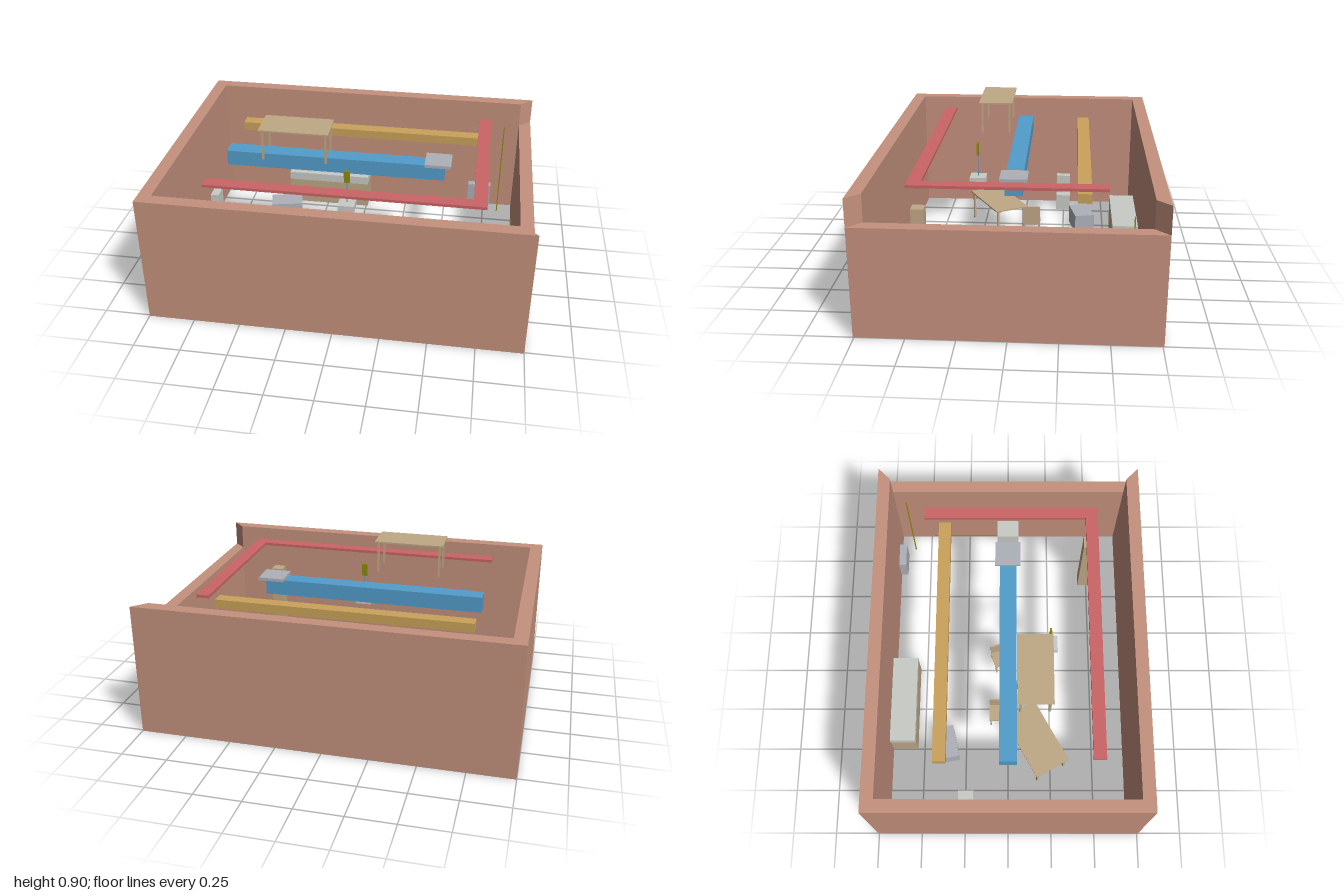
import * as THREE from 'three';

const mat = (name, color) => {
  const m = new THREE.MeshStandardMaterial({ color });
  m.name = name;
  return m;
};

export function createModel() {
  const model = new THREE.Group();
  model.name = 'room';
  const brick = mat('brick', 0xc4917d);
  const wood = mat('wood', 0xbfa886);
  const white = mat('lightGrey', 0xc9cbc6);
  const steel = mat('blueGrey', 0xaeb1b9);
  const red = mat('red', 0xcb6466);
  const ochre = mat('ochre', 0xcaa25a);
  const blue = mat('blue', 0x539dcb);
  const olive = mat('olive', 0x8f8a08);

  // Box given by its lower and upper limits on each axis
  const box = (name, m, x0, x1, y0, y1, z0, z1, parent = model) => {
    const mesh = new THREE.Mesh(new THREE.BoxGeometry(x1 - x0, y1 - y0, z1 - z0), m);
    mesh.position.set((x0 + x1) / 2, (y0 + y1) / 2, (z0 + z1) / 2);
    mesh.name = name;
    parent.add(mesh);
    return mesh;
  };

  // Prism raised from a floor outline of [x, z] points
  const prism = (name, m, points, y0, y1) => {
    const shape = new THREE.Shape(points.map(([x, z]) => new THREE.Vector2(x, -z)));
    const geo = new THREE.ExtrudeGeometry(shape, { depth: y1 - y0, bevelEnabled: false });
    geo.rotateX(-Math.PI / 2);
    const mesh = new THREE.Mesh(geo, m);
    mesh.position.y = y0;
    mesh.name = name;
    model.add(mesh);
  };

  // Mitred walls, the one on the +x side lower
  const X = 1, Z = 0.757, x = 0.93, z = 0.687;
  prism('frontWall', brick, [[-X, Z], [X, Z], [x, z], [-x, z]], 0, 0.725);
  prism('backWall', brick, [[X, -Z], [-X, -Z], [-x, -z], [x, -z]], 0, 0.725);
  prism('rightWall', brick, [[-X, -Z], [-X, Z], [-x, z], [-x, -z]], 0, 0.725);
  prism('leftWall', brick, [[X, Z], [X, -Z], [x, -z], [x, z]], 0, 0.58);

  // Overhead runs
  prism('redTray', red, [[-0.72, 0.515], [0.755, 0.515], [0.755, -0.48], [0.685, -0.48],
    [0.685, 0.445], [-0.72, 0.445]], 0.693, 0.708);
  box('ochreDuct', ochre, -0.72, 0.685, 0.605, 0.655, -0.4, -0.33);
  box('blueDuct', blue, -0.72, 0.515, 0.572, 0.66, -0.047, 0.047);
  box('ductVent', steel, 0.405, 0.55, 0.659, 0.676, -0.073, 0.071);

  // Table with four legs, origin at the foot of its centre
  const table = (name, cx, cy, cz, w, d, h, turn) => {
    const g = new THREE.Group();
    g.name = name;
    g.position.set(cx, cy, cz);
    g.rotation.y = turn;
    box('tableTop', wood, -w / 2, w / 2, h - 0.008, h, -d / 2, d / 2, g);
    for (const sx of [-1, 1]) for (const sz of [-1, 1]) {
      const lx = sx * (w / 2 - 0.018), lz = sz * (d / 2 - 0.018);
      box('tableLeg', wood, lx - 0.006, lx + 0.006, 0, h - 0.008, lz - 0.006, lz + 0.006, g);
    }
    model.add(g);
  };
  table('raisedTable', -0.29, 0.722, 0.142, 0.38, 0.19, 0.181, 0);
  table('floorTable', -0.478, 0, 0.161, 0.405, 0.213, 0.18, 0.507);

  // Chairs with the back rest on their +x side
  const chair = (name, cx, cz, turn) => {
    const g = new THREE.Group();
    g.name = name;
    g.position.set(cx, 0, cz);
    g.rotation.y = turn;
    box('seat', wood, -0.052, 0.052, 0.1, 0.11, -0.052, 0.052, g);
    box('backRest', wood, 0.044, 0.052, 0.11, 0.215, -0.052, 0.052, g);
    for (const sx of [-1, 1]) for (const sz of [-1, 1]) {
      const lx = sx * 0.045, lz = sz * 0.045;
      box('chairLeg', wood, lx - 0.004, lx + 0.004, 0, 0.1, lz - 0.004, lz + 0.004, g);
    }
    model.add(g);
  };
  chair('straightChair', -0.3, -0.058, 0);
  chair('turnedChair', 0.047, -0.041, 0.29);

  // Post below the red tray
  box('post', wood, 0.582, 0.65, 0, 0.54, 0.446, 0.514);

  // Counter along the back wall
  box('counterBase', wood, -0.497, 0.01, 0, 0.16, -0.687, -0.54);
  box('counterTop', white, -0.497, 0.01, 0.16, 0.21, -0.687, -0.54);

  // Toilet
  box('toiletTank', white, -0.93, -0.88, 0, 0.2, -0.29, -0.2);
  box('toiletBowl', white, -0.88, -0.77, 0, 0.1, -0.29, -0.2);

  // Wall basin, heater and turned crate
  box('basin', white, 0.818, 0.928, 0.14, 0.22, -0.068, 0.066);
  box('heater', steel, 0.648, 0.79, 0.02, 0.16, -0.687, -0.643);
  const crate = box('crate', steel, -0.095, 0.095, 0, 0.11, -0.06, 0.06);
  crate.position.set(-0.483, 0.055, -0.366);
  crate.rotation.y = 0.21;

  // Hanging lamp
  box('lampMount', olive, -0.016, 0.016, 0.625, 0.695, 0.231, 0.242);
  box('lampRod', blue, -0.002, 0.002, 0.5, 0.625, 0.234, 0.238);
  box('lampShade', white, -0.046, 0.046, 0.462, 0.5, 0.19, 0.282);

  // Pipes
  box('floorPipe', olive, 0.24, 0.9, 0.015, 0.035, -0.011, 0.011);
  box('standPipe', olive, 0.837, 0.843, 0, 0.605, -0.605, -0.599);
  box('wallPipe', olive, 0.924, 0.929, 0.02, 0.025, -0.48, -0.07);

  return model;
}
